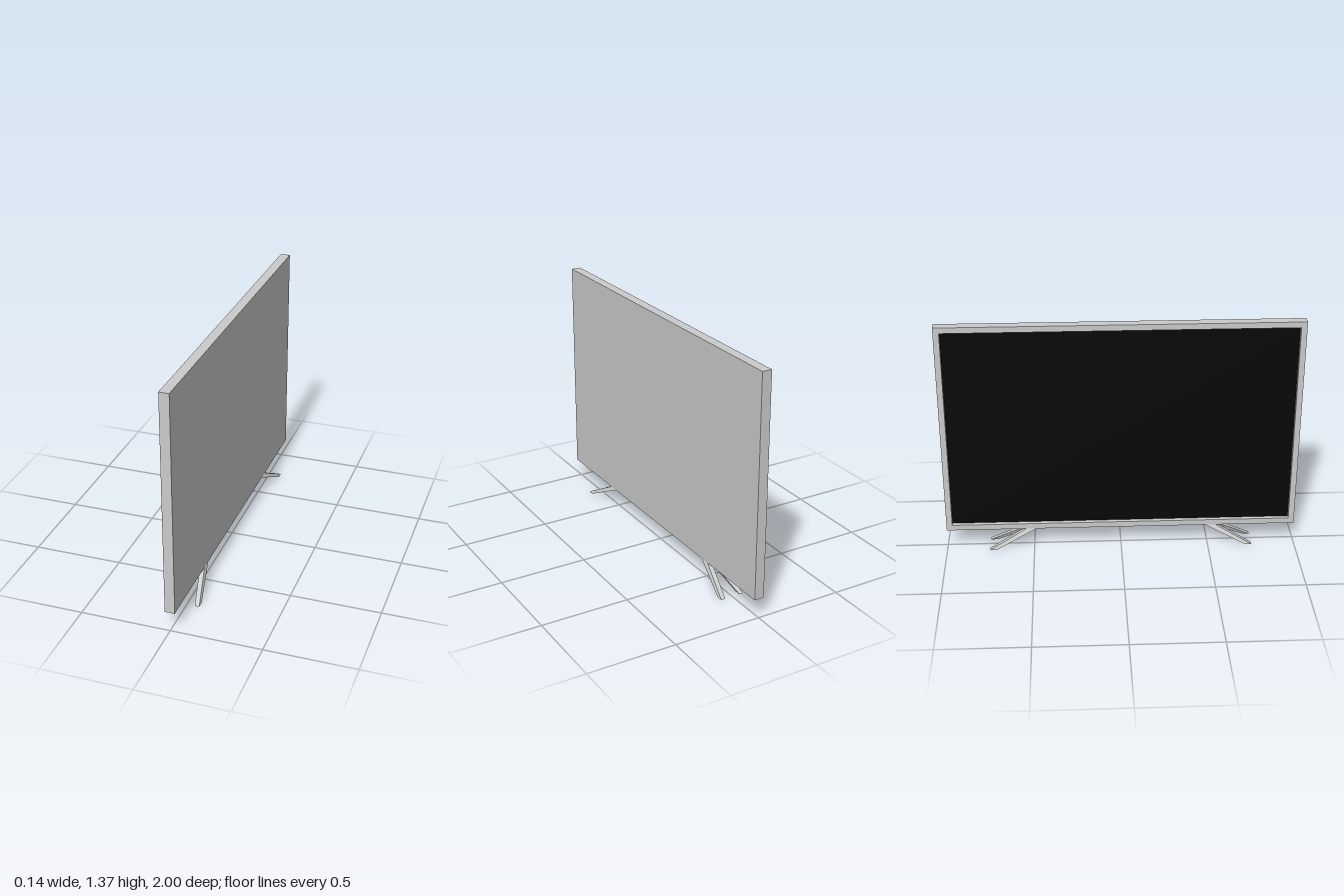
import * as THREE from 'three';

const BOTTOM = 0.112, TOP = 1.365, HALF_T = 0.0275, BEZEL = 0.033, RECESS = 0.025;

function rectangle(Type, halfW, y0, y1) {
  const r = new Type();
  r.moveTo(-halfW, y0);
  r.lineTo(halfW, y0);
  r.lineTo(halfW, y1);
  r.lineTo(-halfW, y1);
  r.closePath();
  return r;
}

// Slanted bar: a box whose bottom and top ends are placed at given x and z ranges
function legGeometry(sx, sz) {
  const ends = {
    low: { y: 0, x: [0.045, 0.07], z: [0.717, 0.754] },
    high: { y: BOTTOM, x: [0, 0.0265], z: [0.485, 0.545] },
  };
  const geo = new THREE.BoxGeometry(1, 1, 1).toNonIndexed();
  const p = geo.attributes.position;
  for (let i = 0; i < p.count; i++) {
    const e = p.getY(i) < 0 ? ends.low : ends.high;
    // pick the mirrored corner so the winding stays outward
    const x = sx * e.x[p.getX(i) * sx > 0 ? 1 : 0];
    const z = sz * e.z[p.getZ(i) * sz > 0 ? 1 : 0];
    p.setXYZ(i, x, e.y, z);
  }
  geo.computeVertexNormals();
  return geo;
}

export function createModel() {
  const model = new THREE.Group();
  model.name = 'television';
  const grey = new THREE.MeshStandardMaterial({ color: 0xcccccc, flatShading: true });
  const black = new THREE.MeshStandardMaterial({ color: 0x080808 });

  const add = (name, geo, mat) => {
    const mesh = new THREE.Mesh(geo, mat);
    mesh.name = name;
    model.add(mesh);
    return mesh;
  };

  const height = TOP - BOTTOM, midY = (TOP + BOTTOM) / 2;
  const seam = -HALF_T + RECESS;

  // Solid rear half of the cabinet
  add('backPanel', new THREE.BoxGeometry(HALF_T - seam, height, 2), grey)
    .position.set((HALF_T + seam) / 2, midY, 0);

  // Raised frame around the recessed screen, facing -x
  const outline = rectangle(THREE.Shape, 1, BOTTOM, TOP);
  outline.holes.push(rectangle(THREE.Path, 1 - BEZEL, BOTTOM + BEZEL, TOP - BEZEL));
  const frame = add('bezel', new THREE.ExtrudeGeometry(outline, { depth: RECESS, bevelEnabled: false }), grey);
  frame.rotation.y = -Math.PI / 2;
  frame.position.x = seam;

  // Dark screen just in front of the back panel
  const screen = add('screen', new THREE.PlaneGeometry(2 - 2 * BEZEL, height - 2 * BEZEL), black);
  screen.rotation.y = -Math.PI / 2;
  screen.position.set(seam - 0.001, midY, 0);

  // Two splayed pairs of legs
  for (const sz of [1, -1]) {
    for (const sx of [1, -1]) {
      add(`${sz > 0 ? 'front' : 'back'}${sx > 0 ? 'Left' : 'Right'}Leg`, legGeometry(sx, sz), grey);
    }
  }
  return model;
}
